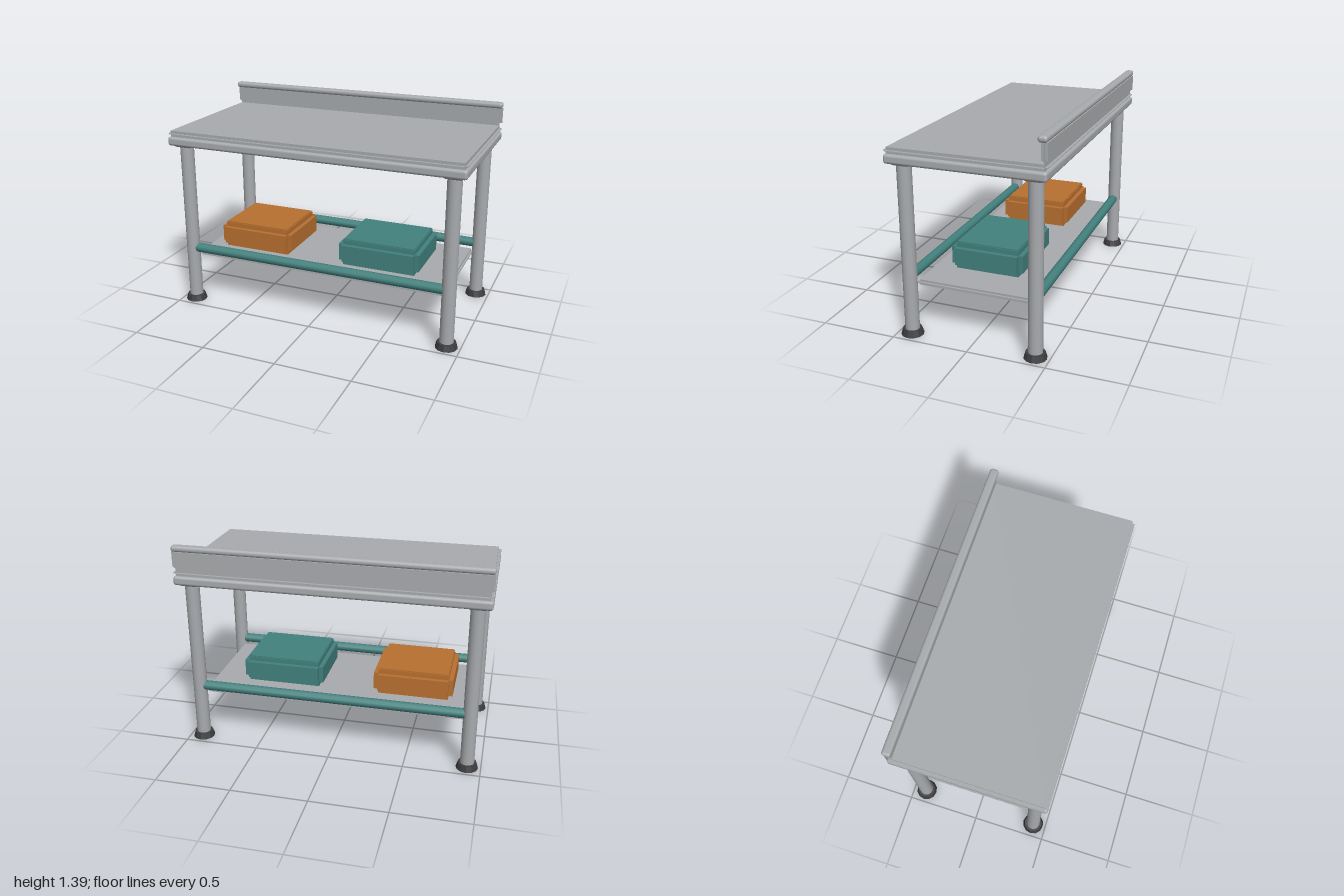
import * as THREE from 'three';
import { RoundedBoxGeometry } from 'three/addons/geometries/RoundedBoxGeometry.js';

const material = (name, color) => {
  const m = new THREE.MeshStandardMaterial({ color });
  m.name = name;
  return m;
};

export function createModel() {
  const steel = material('steel', 0xa8abae);
  const teal = material('teal', 0x42817e);
  const orange = material('orange', 0xb87030);
  const rubber = material('rubber', 0x3d3d40);

  const model = new THREE.Group();
  model.name = 'workTable';

  const add = (parent, name, geometry, mat, x, y, z) => {
    const mesh = new THREE.Mesh(geometry, mat);
    mesh.name = name;
    mesh.position.set(x, y, z);
    parent.add(mesh);
    return mesh;
  };

  // Box with stepped edges: three crossed boxes, each full size along one axis
  const steppedBox = (name, mat, w, h, d, step, x, y, z) => {
    const group = new THREE.Group();
    group.name = name;
    group.position.set(x, y, z);
    const s = 2 * step;
    add(group, name + 'Sides', new THREE.BoxGeometry(w, h - s, d - s), mat, 0, 0, 0);
    add(group, name + 'Core', new THREE.BoxGeometry(w - s, h, d - s), mat, 0, 0, 0);
    add(group, name + 'Faces', new THREE.BoxGeometry(w - s, h - s, d), mat, 0, 0, 0);
    model.add(group);
    return group;
  };

  const roundedBar = (name, w, h, d, x, y, z) =>
    add(model, name, new RoundedBoxGeometry(w, h, d, 2, 0.018), steel, x, y, z);

  // Worktop and backsplash
  steppedBox('worktop', steel, 2, 0.04, 1, 0.018, 0, 1.21, 0);
  steppedBox('backsplash', steel, 2, 0.14, 0.04, 0.018, 0, 1.3, -0.48);
  roundedBar('backsplashCap', 2, 0.04, 0.058, 0, 1.37, -0.471);

  // Frame under the worktop
  for (const side of [-1, 1]) {
    roundedBar('longFrameRail', 2, 0.06, 0.06, 0, 1.16, side * 0.47);
    roundedBar('endFrameRail', 0.06, 0.06, 1, side * 0.97, 1.16, 0);
  }

  // Legs with corner blocks and feet
  const legGeometry = new THREE.CylinderGeometry(0.046, 0.046, 1.11, 16);
  const blockGeometry = new THREE.BoxGeometry(0.125, 0.06, 0.125);
  const collarGeometry = new THREE.CylinderGeometry(0.0625 * Math.SQRT2, 0.048 * Math.SQRT2, 0.014, 4)
    .rotateY(Math.PI / 4).toNonIndexed();
  collarGeometry.computeVertexNormals();
  const footGeometry = new THREE.CylinderGeometry(0.061, 0.0725, 0.04, 12).toNonIndexed();
  footGeometry.computeVertexNormals();
  for (const sx of [-1, 1]) {
    for (const sz of [-1, 1]) {
      const leg = new THREE.Group();
      leg.name = (sz > 0 ? 'front' : 'back') + (sx > 0 ? 'Left' : 'Right') + 'Leg';
      leg.position.set(sx * 0.91, 0, sz * 0.41);
      add(leg, 'post', legGeometry, steel, 0, 0.575, 0);
      add(leg, 'cornerBlock', blockGeometry, steel, 0, 1.16, 0);
      add(leg, 'collar', collarGeometry, steel, 0, 1.123, 0);
      add(leg, 'foot', footGeometry, rubber, 0, 0.02, 0);
      model.add(leg);
    }
  }

  // Lower shelf and its side rails
  steppedBox('shelf', steel, 1.76, 0.036, 0.76, 0.013, 0, 0.342, 0);
  const railGeometry = new THREE.CylinderGeometry(0.032, 0.032, 1.76, 12).rotateZ(Math.PI / 2);
  for (const side of [-1, 1]) {
    add(model, 'shelfRail', railGeometry, teal, 0, 0.394, side * 0.41);
  }

  // Storage boxes on the shelf, each with a thin lid
  const storageBox = (name, mat, w, x) => {
    const box = steppedBox(name, mat, w, 0.175, 0.48, 0.03, x, 0.4475, 0.015);
    add(box, name + 'Lid', new THREE.BoxGeometry(w - 0.07, 0.008, 0.41), mat, 0, 0.0905, 0);
  };
  storageBox('orangeBox', orange, 0.53, -0.51);
  storageBox('tealBox', teal, 0.555, 0.3825);

  return model;
}
